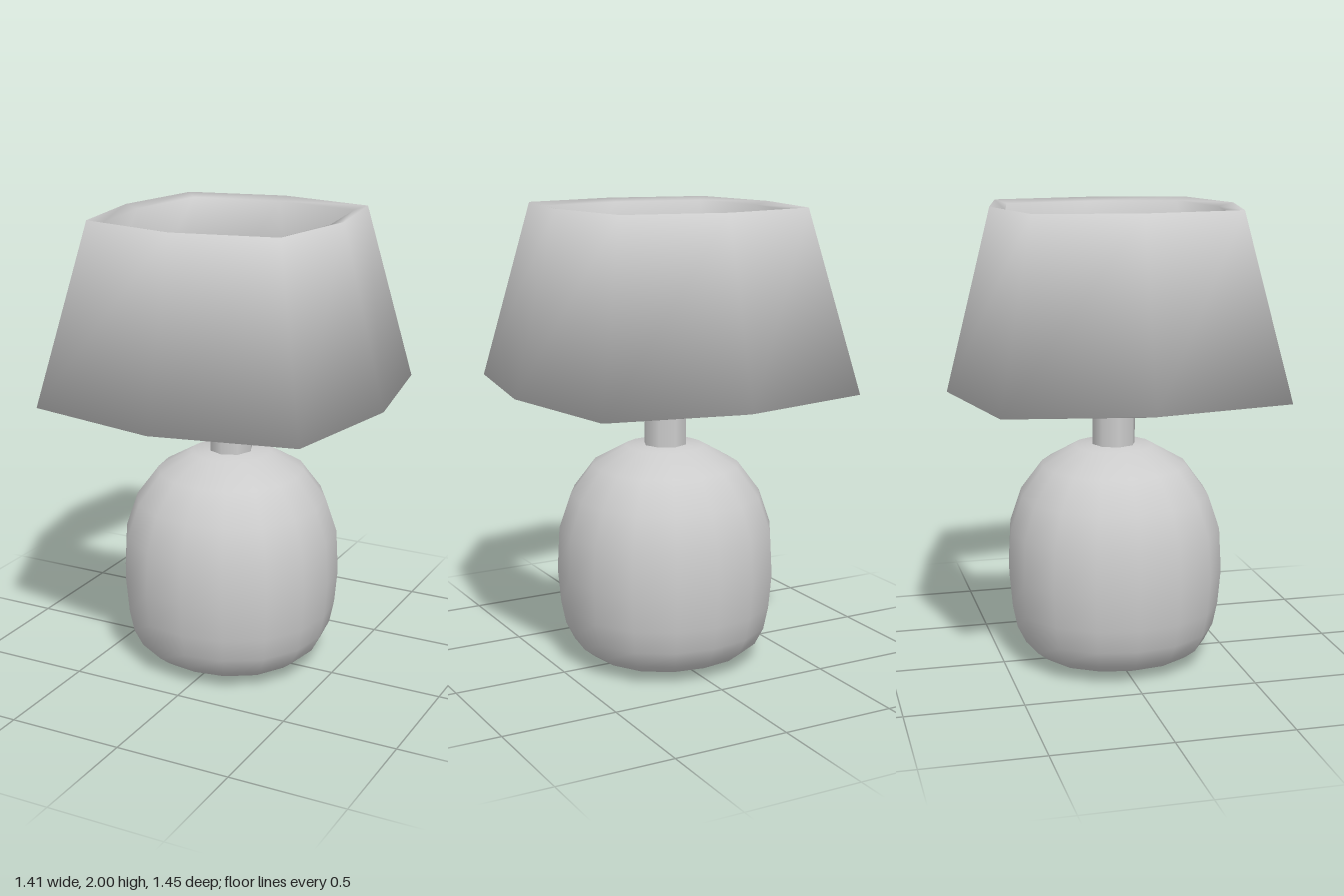
import * as THREE from 'three';

const lampGrey = new THREE.MeshStandardMaterial({ color: 0xcccccc });
lampGrey.name = 'lampGrey';

// Skin a list of rings with quads; normals average the adjacent faces equally.
function loft(rings, wrap = false) {
  const n = rings[0].length, m = rings.length;
  const points = rings.flat();
  const normals = points.map(() => new THREE.Vector3());
  const index = [];
  for (let i = 0; i < (wrap ? m : m - 1); i++) {
    for (let j = 0; j < n; j++) {
      const k = (j + 1) % n, up = ((i + 1) % m) * n;
      const [a, b, c, d] = [i * n + j, i * n + k, up + k, up + j];
      const face = points[c].clone().sub(points[a])
        .cross(points[d].clone().sub(points[b])).normalize();
      [a, b, c, d].forEach((v) => normals[v].add(face));
      index.push(a, b, c, a, c, d);
    }
  }
  const flat = (list) => new THREE.Float32BufferAttribute(list.flatMap((v) => v.toArray()), 3);
  const geometry = new THREE.BufferGeometry();
  geometry.setAttribute('position', flat(points));
  geometry.setAttribute('normal', flat(normals.map((v) => v.normalize())));
  geometry.setIndex(index);
  return geometry;
}

// Eight-sided ring: square corners with the middle of each side pushed out.
function shadeRing(corner, midX, midZ, y) {
  return [
    [0, midZ], [corner, corner], [midX, 0], [corner, -corner],
    [0, -midZ], [-corner, -corner], [-midX, 0], [-corner, corner],
  ].map(([x, z]) => new THREE.Vector3(x, y, z));
}

// Sixteen-sided ring, slightly squarer than a circle.
function baseRing(radius, y) {
  return Array.from({ length: 16 }, (_, j) => {
    const a = (j / 16) * Math.PI * 2;
    const r = radius * (1 + 0.03 * Math.sin(2 * a) ** 2);
    return new THREE.Vector3(r * Math.sin(a), y, r * Math.cos(a));
  });
}

export function createModel() {
  const lamp = new THREE.Group();
  lamp.name = 'tableLamp';
  const add = (name, geometry) => {
    const mesh = new THREE.Mesh(geometry, lampGrey);
    mesh.name = name;
    lamp.add(mesh);
    return mesh;
  };

  // Rounded base, widest just below the middle
  const profile = [
    [0, 0], [0.13, 0.005], [0.25, 0.015], [0.35, 0.045], [0.4, 0.085],
    [0.437, 0.16], [0.457, 0.26], [0.47, 0.41], [0.46, 0.6], [0.41, 0.75],
    [0.315, 0.88], [0.17, 0.963], [0, 0.975],
  ];
  add('base', loft(profile.map(([r, y]) => baseRing(r, y))));

  // Short stem ending inside the shade
  add('stem', new THREE.CylinderGeometry(0.095, 0.095, 0.38, 8)).position.y = 1.14;

  // Thick open shade: outer wall, top rim, inner wall, bottom rim
  add('shade', loft([
    shadeRing(0.6, 0.705, 0.725, 1.23),
    shadeRing(0.435, 0.51, 0.53, 2),
    shadeRing(0.39, 0.45, 0.463, 1.985),
    shadeRing(0.545, 0.645, 0.66, 1.215),
  ], true));

  return lamp;
}
